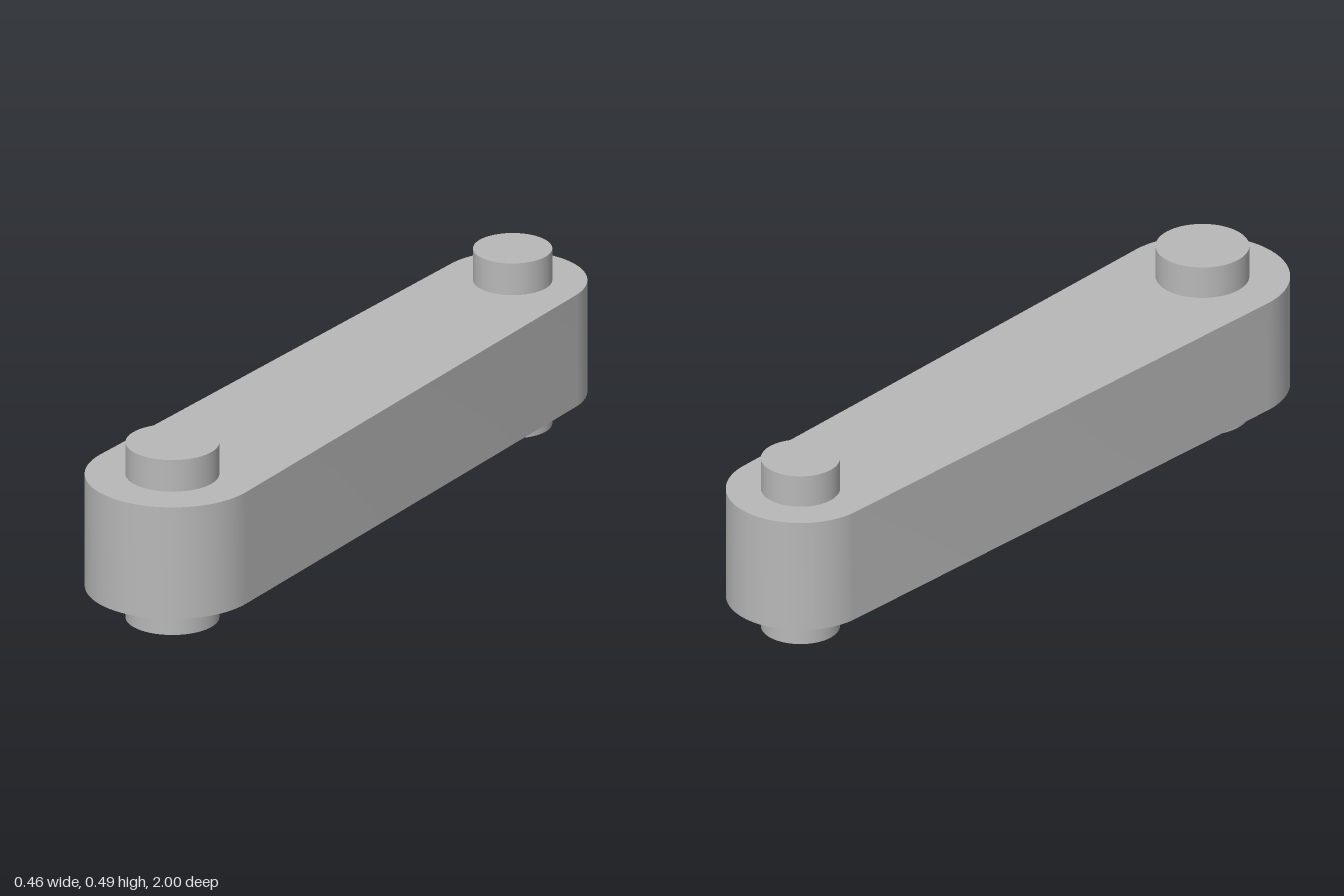
import * as THREE from 'three';
import { toCreasedNormals } from 'three/addons/utils/BufferGeometryUtils.js';

export function createModel() {
  const model = new THREE.Group();
  model.name = 'linkArm';
  const steel = new THREE.MeshStandardMaterial({ color: 0xb8b8b8 });
  steel.name = 'steel grey';

  // The two round ends: centre z, arm radius, pin radius
  const front = { name: 'frontPin', z: 0.772, radius: 0.228, pin: 0.122 };
  const back = { name: 'backPin', z: -0.806, radius: 0.194, pin: 0.103 };
  const armBottom = 0.089, armTop = 0.403, pinHeight = 0.492;

  // Arm: two arcs joined by their common tangents, extruded upwards
  const tilt = Math.asin((front.radius - back.radius) / (front.z - back.z));
  const outline = new THREE.Shape();
  outline.absarc(0, -front.z, front.radius, Math.PI - tilt, 2 * Math.PI + tilt, false);
  outline.absarc(0, -back.z, back.radius, tilt, Math.PI - tilt, false);
  outline.closePath();
  const armGeometry = new THREE.ExtrudeGeometry(outline, {
    depth: armTop - armBottom, bevelEnabled: false, curveSegments: 32,
  });
  armGeometry.rotateX(-Math.PI / 2);
  const arm = new THREE.Mesh(toCreasedNormals(armGeometry, 0.5), steel);
  arm.name = 'arm';
  arm.position.y = armBottom;
  model.add(arm);

  // Pins: pass through the arm and stand out above and below
  for (const end of [front, back]) {
    const pin = new THREE.Mesh(
      new THREE.CylinderGeometry(end.pin, end.pin, pinHeight, 64), steel);
    pin.name = end.name;
    pin.position.set(0, pinHeight / 2, end.z);
    model.add(pin);
  }
  return model;
}
